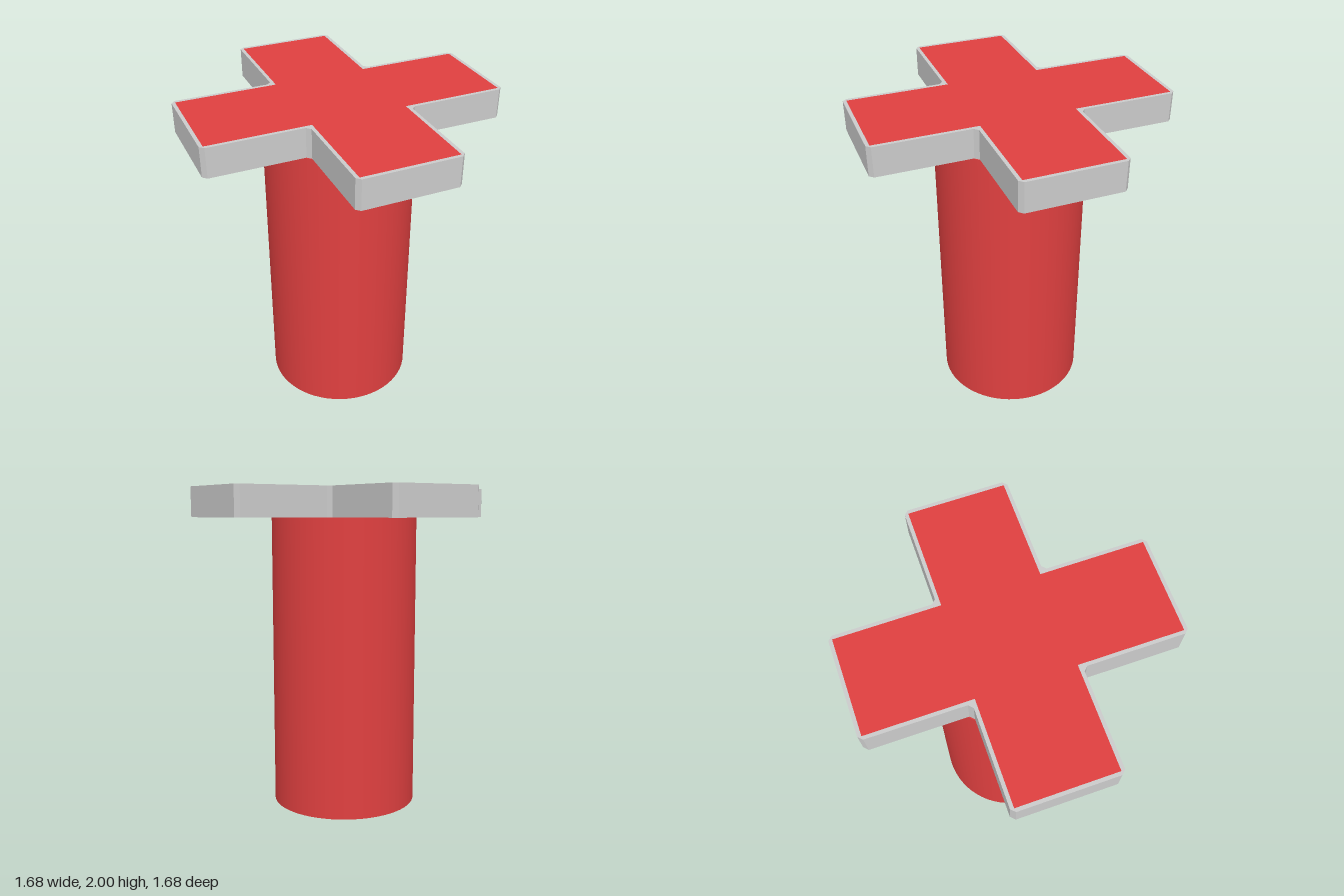
import * as THREE from 'three';

const HALF_WIDTH = 0.283; // half width of a red arm
const REACH = 0.887;      // centre to the end of a red arm
const RIM = 0.021;        // thickness of the grey border
const BOTTOM = 1.82;      // underside of the cross

// Outline of a four-armed cross, repeated arm by arm; chamfer cuts all corners
function crossPoints(halfWidth, reach, chamfer) {
  const w = halfWidth, r = reach, c = chamfer;
  const arm = c > 0
    ? [[w + c, -w], [r - c, -w], [r, c - w], [r, w - c], [r - c, w], [w + c, w]]
    : [[w, -w], [r, -w], [r, w]];
  const points = [];
  for (let i = 0; i < 4; i++) {
    for (const [x, y] of arm) {
      points.push(new THREE.Vector2(x, y).rotateAround(new THREE.Vector2(), i * Math.PI / 2));
    }
  }
  return points;
}

// Lay a shape flat as a slab with its arms on the diagonals
function slab(shape) {
  const geometry = new THREE.ExtrudeGeometry(shape, { depth: 2 - BOTTOM, bevelEnabled: false });
  geometry.rotateX(-Math.PI / 2);
  geometry.rotateY(Math.PI / 4);
  geometry.translate(0, BOTTOM, 0);
  return geometry;
}

export function createModel() {
  const group = new THREE.Group();
  const red = new THREE.MeshStandardMaterial({ color: 0xe04040 });
  const grey = new THREE.MeshStandardMaterial({ color: 0xcccccc });

  const add = (name, geometry, material) => {
    const mesh = new THREE.Mesh(geometry, material);
    mesh.name = name;
    group.add(mesh);
  };

  // Round shaft, standing on the ground
  const shaft = new THREE.CylinderGeometry(0.453, 0.453, BOTTOM, 64);
  shaft.translate(0, BOTTOM / 2, 0);
  add('shaft', shaft, red);

  // Red cross filling the head
  const core = crossPoints(HALF_WIDTH, REACH, 0);
  add('crossCore', slab(new THREE.Shape(core)), red);

  // Grey border around the cross, flush with it above and below
  const rim = new THREE.Shape(crossPoints(HALF_WIDTH + RIM, REACH + RIM, 0.024));
  rim.holes.push(new THREE.Path(core));
  add('crossRim', slab(rim), grey);

  return group;
}
